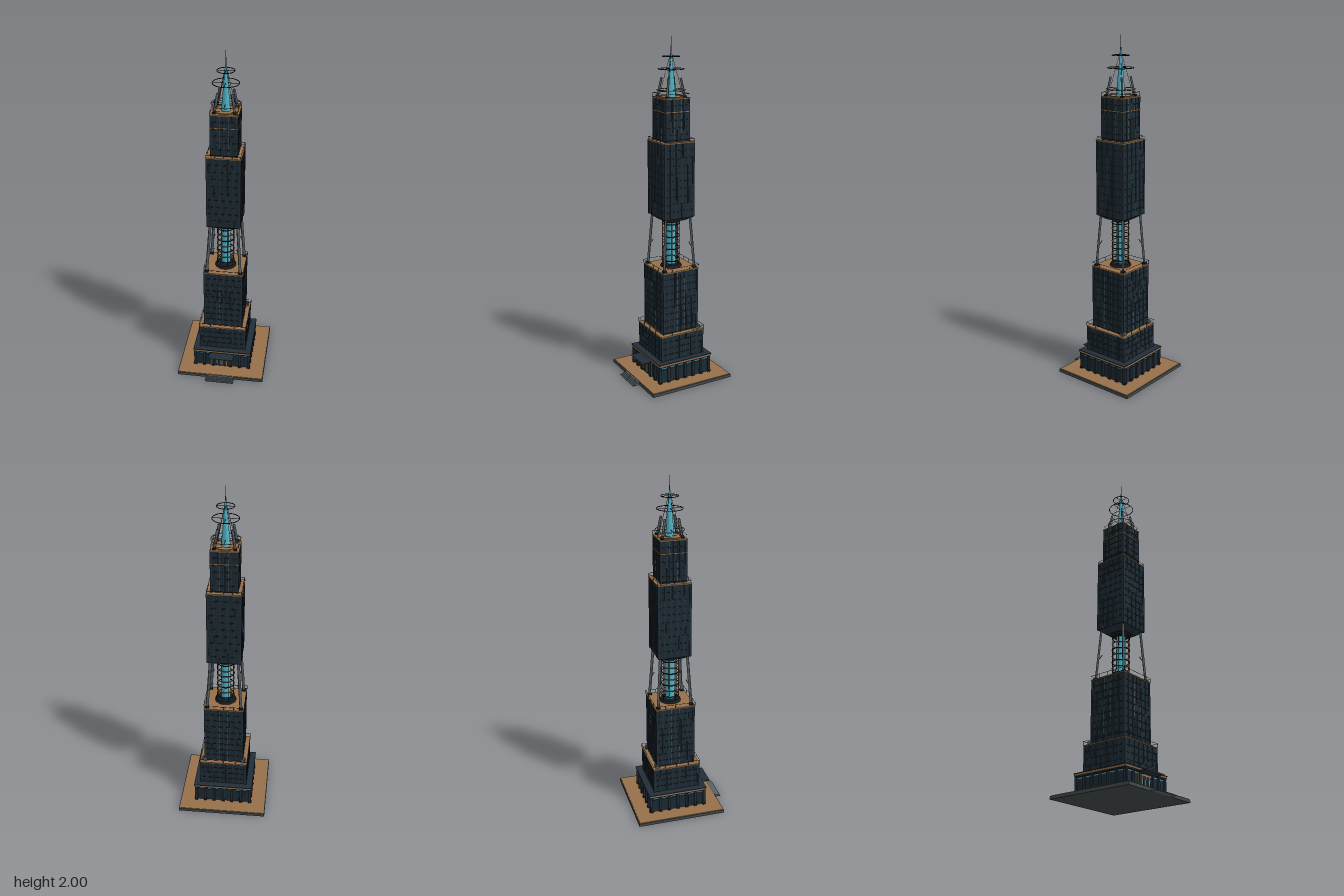
import * as THREE from 'three';

const flat = (name, color) => {
  const m = new THREE.MeshStandardMaterial({ color });
  m.name = name;
  return m;
};

export function createModel() {
  const navy = flat('navy cladding', 0x232e38);
  const black = flat('dark frame', 0x171c20);
  const glass = flat('dark glass', 0x1b2a32);
  const bronze = flat('bronze', 0x96704a);
  const grey = flat('grey metal', 0x586266);
  const stone = flat('dark stone', 0x434a4b);
  const cyan = flat('cyan crystal', 0x4fb3c8);

  const model = new THREE.Group();
  model.name = 'tower';
  const tower = new THREE.Group();
  tower.name = 'towerBody';
  tower.position.z = -0.0205;
  model.add(tower);

  const put = (parent, name, geo, mat, x = 0, y = 0, z = 0) => {
    const m = new THREE.Mesh(geo, mat);
    m.name = name;
    m.position.set(x, y, z);
    parent.add(m);
    return m;
  };
  // Box standing on height y
  const box = (parent, name, mat, w, h, d, x, y, z) =>
    put(parent, name, new THREE.BoxGeometry(w, h, d), mat, x, y + h / 2, z);
  // Straight bar between two points, round or square
  const bar = (parent, name, mat, a, b, r, sides = 6) => {
    const p = new THREE.Vector3(...a), q = new THREE.Vector3(...b);
    const dir = q.clone().sub(p);
    const m = put(parent, name, new THREE.CylinderGeometry(r, r, dir.length(), sides), mat);
    m.position.copy(p).add(q).multiplyScalar(0.5);
    m.quaternion.setFromUnitVectors(new THREE.Vector3(0, 1, 0), dir.normalize());
    return m;
  };
  const ring = (parent, name, mat, R, r, y) => {
    const m = put(parent, name, new THREE.TorusGeometry(R, r, 6, 40), mat, 0, y, 0);
    m.rotation.x = Math.PI / 2;
    return m;
  };
  // Repeat a part on the four sides
  const sides = (name, build) => {
    for (let i = 0; i < 4; i++) {
      const g = new THREE.Group();
      g.name = name;
      g.rotation.y = i * Math.PI / 2;
      tower.add(g);
      build(g, i);
    }
  };

  // Plinth and entrance steps
  box(tower, 'plinth', stone, 0.527, 0.018, 0.527, 0, 0, 0);
  box(tower, 'plinthPaving', bronze, 0.518, 0.004, 0.518, 0, 0.017, 0);
  for (let i = 0; i < 5; i++)
    box(model, 'step', grey, 0.172, 0.0035 * (5 - i), 0.009, 0, 0, 0.2475 + i * 0.008 - 0.001);

  // Lobby with pillars, clerestory and cornice
  box(tower, 'lobby', navy, 0.33, 0.108, 0.33, 0, 0.02, 0);
  sides('lobbySide', (g, side) => {
    for (let i = 0; i < 7; i++) {
      const x = -0.165 + i * 0.055;
      if (side === 0 && i === 3) continue;
      box(g, 'pillar', navy, 0.014, 0.098, 0.014, x, 0.02, 0.168);
      box(g, 'pillarFoot', black, 0.018, 0.01, 0.017, x, 0.02, 0.168);
    }
    for (let i = 0; i < 6; i++) {
      if (side === 0 && (i === 2 || i === 3)) continue;
      box(g, 'lobbyWindow', glass, 0.032, 0.07, 0.003, -0.1375 + i * 0.055, 0.032, 0.1655);
    }
    box(g, 'clerestory', cyan, 0.32, 0.006, 0.003, 0, 0.11, 0.1655);
  });
  box(tower, 'corniceSoffit', black, 0.348, 0.01, 0.348, 0, 0.118, 0);
  box(tower, 'corniceBand', bronze, 0.354, 0.009, 0.354, 0, 0.127, 0);
  box(tower, 'corniceCap', navy, 0.357, 0.005, 0.357, 0, 0.136, 0);

  // Entrance
  box(tower, 'doorFrame', bronze, 0.13, 0.092, 0.006, 0, 0.022, 0.167);
  for (const x of [-0.045, -0.015, 0.015, 0.045]) {
    box(tower, 'doorGlass', glass, 0.024, 0.082, 0.004, x, 0.022, 0.1695);
    box(tower, 'doorHandle', cyan, 0.002, 0.05, 0.003, x + 0.008, 0.035, 0.171);
  }
  box(tower, 'canopy', navy, 0.152, 0.005, 0.062, 0, 0.117, 0.202);
  box(tower, 'canopyEdge', bronze, 0.152, 0.003, 0.003, 0, 0.117, 0.2325);

  // Railing around a ledge
  const railing = (h, y, height = 0.022) => sides('railing', (g) => {
    bar(g, 'handrail', black, [-h, y + height, h], [h, y + height, h], 0.0011);
    for (let i = 0; i < 5; i++) {
      const x = -h + i * h / 2;
      bar(g, 'railPost', black, [x, y, h], [x, y + height, h], 0.001, 4);
    }
  });

  // Clad shaft: wall, windows, fins, floor bands, corner posts and bronze roof
  const shaft = (name, h, y0, y1, bays, floors, slits) => {
    const H = y1 - y0, w = h - 0.003, bay = 2 * w / bays, storey = H / floors;
    box(tower, name, navy, 2 * w, H, 2 * w, 0, y0, 0);
    sides(name + 'Face', (g) => {
      for (let f = 0; f < floors; f++) {
        for (let b = 0; b < bays; b++)
          box(g, 'window', glass, bay * 0.72, storey * 0.78, 0.001, -w + (b + 0.5) * bay, y0 + (f + 0.11) * storey, w + 0.0004);
        if (f) box(g, 'floorBand', black, 2 * w, 0.004, 0.002, 0, y0 + f * storey - 0.002, w + 0.001);
        if (slits) for (const s of [-1, 1])
          box(g, 'lightSlit', grey, 0.0025, storey * 0.7, 0.002, s * 0.024, y0 + (f + 0.15) * storey, w + 0.0022);
      }
      for (let b = 1; b < bays; b++)
        box(g, 'fin', navy, 0.005, H - 0.004, 0.003, -w + b * bay, y0, w + 0.0015);
      box(g, 'cornerPost', navy, 0.012, H - 0.003, 0.012, h - 0.0055, y0, h - 0.0055);
    });
    box(tower, name + 'Roof', bronze, 2 * h + 0.003, 0.006, 2 * h + 0.003, 0, y1 - 0.005, 0);
  };
  shaft('podium', 0.142, 0.14, 0.296, 7, 4, false);
  shaft('lowerShaft', 0.117, 0.296, 0.676, 6, 9, true);
  shaft('upperBlock', 0.098, 0.985, 1.424, 5, 10, false);
  shaft('crownBlock', 0.077, 1.424, 1.668, 4, 6, true);
  railing(0.144, 0.296);
  railing(0.119, 0.676);
  railing(0.096, 1.424, 0.016);
  box(tower, 'crownBand', bronze, 0.157, 0.004, 0.157, 0, 1.59, 0);

  // Angle brackets on the rear ledge corners
  for (const s of [-1, 1]) {
    box(tower, 'rearBracket', grey, 0.03, 0.02, 0.007, s * 0.115, 0.297, -0.123);
    box(tower, 'rearBracket', grey, 0.007, 0.02, 0.027, s * 0.127, 0.297, -0.113);
  }

  // Open storey: crystal core in a ring cage
  put(tower, 'core', new THREE.CylinderGeometry(0.027, 0.027, 0.29, 12), cyan, 0, 0.82, 0);
  put(tower, 'coreBase', new THREE.CylinderGeometry(0.056, 0.064, 0.016, 24), black, 0, 0.684, 0);
  put(tower, 'coreCollar', new THREE.CylinderGeometry(0.06, 0.05, 0.014, 24), black, 0, 0.957, 0);
  for (let i = 0; i < 7; i++)
    ring(tower, 'cageRing', i % 2 ? bronze : black, 0.05, 0.003, 0.715 + i * 0.037);
  for (let i = 0; i < 8; i++) {
    const a = (i + 0.5) * Math.PI / 4, x = 0.05 * Math.cos(a), z = 0.05 * Math.sin(a);
    bar(tower, 'cageRod', i % 2 ? black : bronze, [x, 0.685, z], [x, 0.96, z], 0.002);
  }

  // Underside of the raised block, tapering to the core
  const taper = put(tower, 'blockUnderside',
    new THREE.CylinderGeometry(0.095 * Math.SQRT2, 0.06 * Math.SQRT2, 0.026, 4, 1).toNonIndexed(), navy, 0, 0.973, 0);
  taper.geometry.computeVertexNormals();
  taper.rotation.y = Math.PI / 4;

  // Raking legs with short braces
  sides('leg', (g) => {
    bar(g, 'legColumn', grey, [0.1, 0.676, 0.1], [0.08, 0.99, 0.08], 0.0085, 4);
    box(g, 'legFoot', black, 0.022, 0.01, 0.022, 0.1, 0.676, 0.1);
    bar(g, 'legBrace', grey, [0.092, 0.795, 0.092], [0.076, 0.83, 0.076], 0.003, 4);
  });

  // Spire: faceted crystal, needle, hoops and spokes
  const crystal = put(tower, 'spireCrystal',
    new THREE.CylinderGeometry(0.004, 0.026, 0.255, 12).toNonIndexed(), cyan, 0, 1.795, 0);
  crystal.geometry.computeVertexNormals();
  put(tower, 'needle', new THREE.CylinderGeometry(0.0008, 0.0035, 0.09, 8), grey, 0, 1.955, 0);
  for (const [R, y] of [[0.08, 1.708], [0.073, 1.823], [0.048, 1.891]]) {
    ring(tower, 'hoop', y < 1.8 ? bronze : black, R, 0.0022, y);
    bar(tower, 'hoopSpoke', black, [-R, y, 0], [R, y, 0], 0.0014);
    bar(tower, 'hoopSpoke', black, [0, y, -R], [0, y, R], 0.0014);
  }
  ring(tower, 'roofRing', bronze, 0.068, 0.003, 1.672);

  // Raking buttresses and stay cables at the crown corners
  sides('crownCorner', (g) => {
    bar(g, 'buttress', grey, [0.056, 1.668, 0.056], [0.039, 1.775, 0.039], 0.0075, 4);
    box(g, 'buttressFoot', black, 0.018, 0.01, 0.018, 0.056, 1.668, 0.056);
    bar(g, 'stayCable', black, [0.05, 1.668, 0.05], [0.003, 1.905, 0.003], 0.0011, 4);
    bar(g, 'crownRail', black, [-0.075, 1.69, 0.075], [0.075, 1.69, 0.075], 0.001, 4);
    bar(g, 'crownPost', black, [0.075, 1.668, 0.075], [0.075, 1.69, 0.075], 0.0012, 4);
  });

  return model;
}
